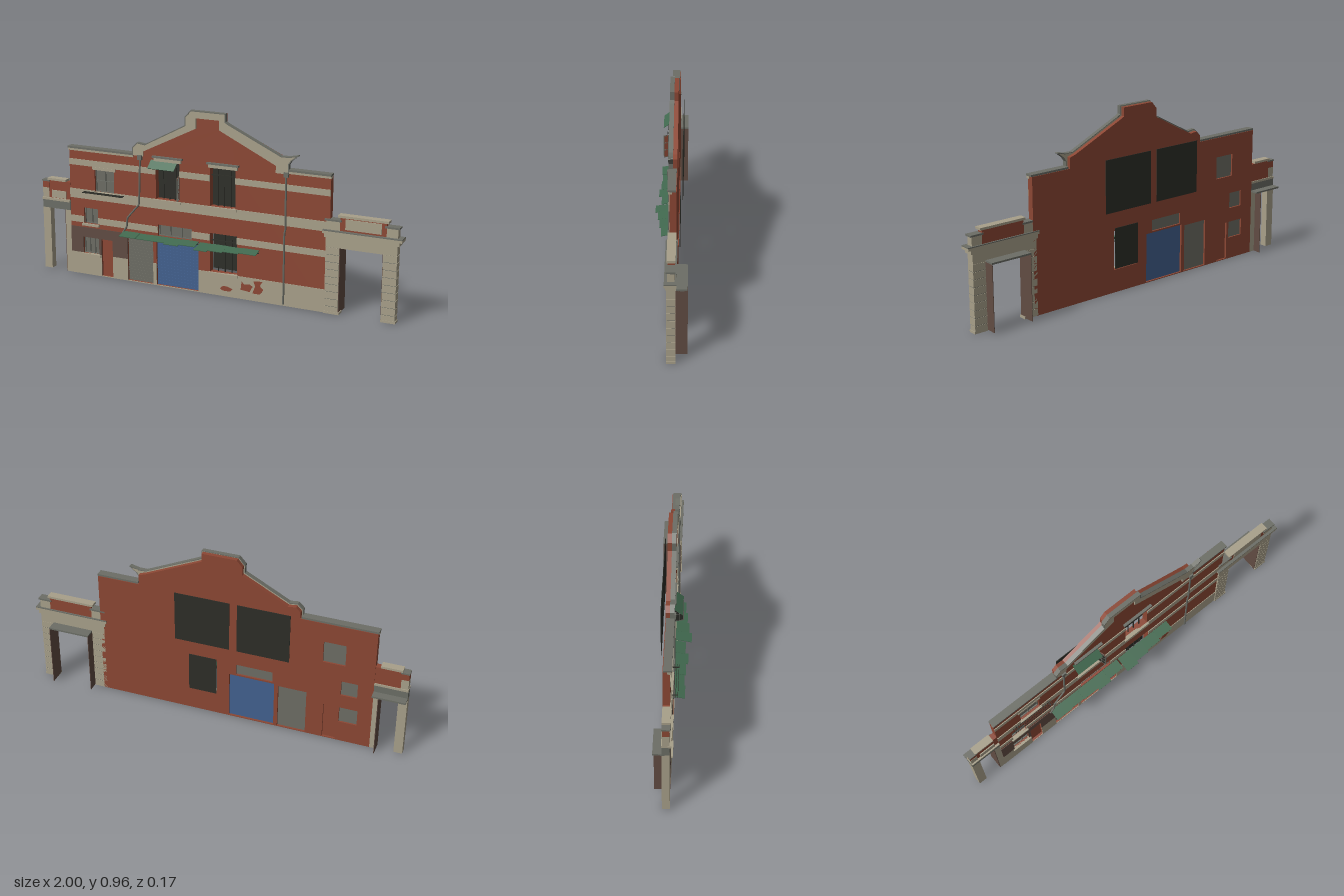
import * as THREE from 'three';

const mat = (name, color, side = THREE.FrontSide) => {
  const m = new THREE.MeshStandardMaterial({ color, side });
  m.name = name;
  return m;
};

export function createModel() {
  const root = new THREE.Group();
  root.name = 'facade';
  const brick = mat('brick', 0x8c4734), cream = mat('cream stone', 0xa8a08a), gray = mat('gray lead', 0x6c6e66);
  const brown = mat('brown render', 0x614c43, THREE.DoubleSide), glass = mat('dusty glass', 0x6d6d64);
  const dark = mat('dark interior', 0x2d2e28), green = mat('green canvas', 0x41694f, THREE.DoubleSide);
  const blue = mat('blue shutter', 0x42618f);

  const add = (name, geo, m, parent = root) => {
    const mesh = new THREE.Mesh(geo, m);
    mesh.name = name;
    parent.add(mesh);
    return mesh;
  };
  const group = (name) => {
    const g = new THREE.Group();
    g.name = name;
    root.add(g);
    return g;
  };
  // Box given by its x, y and z ranges
  const box = (name, m, x0, x1, y0, y1, z0, z1, parent = root) => {
    const mesh = add(name, new THREE.BoxGeometry(x1 - x0, y1 - y0, z1 - z0), m, parent);
    mesh.position.set((x0 + x1) / 2, (y0 + y1) / 2, (z0 + z1) / 2);
    return mesh;
  };
  const poly = (pts) => new THREE.Shape(pts.map(([x, y]) => new THREE.Vector2(x, y)));
  const extrude = (name, m, shape, z0, z1) => {
    const geo = new THREE.ExtrudeGeometry(shape, { depth: z1 - z0, bevelEnabled: false });
    geo.translate(0, 0, z0);
    return add(name, geo, m);
  };

  // Openings: x0, x1, y0, y1
  const O = {
    upperLeft: [-0.68, -0.565, 0.465, 0.585],
    middleLeft: [-0.75, -0.665, 0.285, 0.37],
    lowerLeft: [-0.757, -0.662, 0.118, 0.208],
    smallDoor: [-0.648, -0.58, 0.004, 0.208],
    grayShutter: [-0.49, -0.34, 0.004, 0.257],
    blueShutter: [-0.32, -0.078, 0.004, 0.265],
    transom: [-0.31, -0.115, 0.273, 0.333],
    gableLeft: [-0.32, -0.185, 0.47, 0.672],
    gableRight: [-0.013, 0.127, 0.47, 0.672],
    lowerRight: [-0.013, 0.137, 0.122, 0.328],
  };
  const openings = Object.values(O);

  // Brick wall with gable
  const wall = poly([[-0.83, 0], [0.63, 0], [0.63, 0.7], [0.405, 0.7], [0.405, 0.755], [0.372, 0.765], [0.094, 0.892],
    [0.068, 0.905], [0.068, 0.95], [-0.113, 0.95], [-0.142, 0.915], [-0.142, 0.87], [-0.377, 0.745],
    [-0.418, 0.75], [-0.442, 0.725], [-0.442, 0.69], [-0.83, 0.69]]);
  for (const [a, b, c, d] of openings)
    wall.holes.push(new THREE.Path([[a, c], [a, d], [b, d], [b, c]].map((p) => new THREE.Vector2(...p))));
  extrude('brickWall', brick, wall, -0.033, 0);

  // Thin facing plates, cut around the openings
  const facing = (name, m, rect, z1) => {
    let parts = [rect];
    for (const [a, b, c, d] of openings) {
      parts = parts.flatMap((r) => {
        const [x0, x1, y0, y1] = r;
        if (a >= x1 || b <= x0 || c >= y1 || d <= y0) return [r];
        const l = Math.max(a, x0), h = Math.min(b, x1);
        return [[x0, l, y0, y1], [h, x1, y0, y1], [l, h, y0, c], [l, h, d, y1]]
          .filter((q) => q[1] - q[0] > 0.001 && q[3] - q[2] > 0.001);
      });
    }
    const g = group(name);
    parts.forEach((r) => box(name, m, ...r, -0.001, z1, g));
  };
  facing('stonePlinth', cream, [-0.83, 0.63, 0, 0.12], 0.003);
  facing('brownRender', brown, [-0.83, -0.49, 0.12, 0.262], 0.003);
  facing('lowerBand', cream, [-0.49, 0.63, 0.288, 0.322], 0.004);
  facing('lowerBand', cream, [-0.83, -0.49, 0.288, 0.322], 0.004);
  facing('middleBand', cream, [-0.83, 0.63, 0.42, 0.47], 0.004);
  facing('upperBand', cream, [-0.83, 0.63, 0.6, 0.632], 0.004);

  // Exposed brick where the plinth has worn away
  [[[0.045, 0.04], [0.06, 0.055], [0.085, 0.055], [0.115, 0.045], [0.1, 0.03], [0.06, 0.03]],
    [[0.16, 0.05], [0.165, 0.095], [0.18, 0.08], [0.21, 0.085], [0.225, 0.075], [0.21, 0.045]],
    [[0.225, 0.04], [0.24, 0.08], [0.23, 0.105], [0.28, 0.11], [0.265, 0.085], [0.285, 0.065], [0.265, 0.04]],
  ].forEach((p) => extrude('wornPatch', brick, poly(p), 0.002, 0.0045));

  // Gable trim and lead coping
  const outer = [[-0.447, 0.69], [-0.447, 0.73], [-0.42, 0.757], [-0.377, 0.752], [-0.147, 0.874], [-0.147, 0.917],
    [-0.115, 0.953], [0.072, 0.953], [0.072, 0.912], [0.094, 0.9], [0.372, 0.771], [0.414, 0.771], [0.46, 0.782],
    [0.425, 0.755], [0.412, 0.735], [0.412, 0.685]];
  const inner = [[0.345, 0.685], [0.345, 0.722], [0.04, 0.868], [0.04, 0.917], [-0.088, 0.917], [-0.088, 0.864],
    [-0.388, 0.715], [-0.388, 0.69]];
  extrude('gableTrim', cream, poly([...outer, ...inner]), -0.012, 0.008);
  const coping = group('gableCoping');
  for (let i = 0; i < outer.length - 1; i++) {
    const [x0, y0] = outer[i], [x1, y1] = outer[i + 1];
    const seg = add('copingStrip', new THREE.BoxGeometry(Math.hypot(x1 - x0, y1 - y0) + 0.003, 0.005, 0.022), gray, coping);
    seg.position.set((x0 + x1) / 2, (y0 + y1) / 2, -0.001);
    seg.rotation.z = Math.atan2(y1 - y0, x1 - x0);
  }
  // Eaves of the two wings
  for (const [x0, x1, y] of [[-0.833, -0.447, 0.69], [0.412, 0.633, 0.7]]) {
    box('eavesMoulding', cream, x0, x1, y - 0.012, y, -0.012, 0.006);
    box('eavesCap', gray, x0, x1, y, y + 0.01, -0.03, 0.01);
  }

  // Glazed windows with bars, sill and lintel
  const glazed = (name, r, cols, rows, fill = glass, z = -0.018) => {
    const [a, b, c, d] = r, g = group(name), t = 0.004;
    if (fill) box('pane', fill, a, b, c, d, z - 0.006, z, g);
    for (let i = 0; i <= cols; i++) {
      const x = a + t / 2 + ((b - a - t) * i) / cols;
      box('upright', gray, x - t / 2, x + t / 2, c, d, z, z + 0.007, g);
    }
    for (let i = 0; i <= rows; i++) {
      const y = c + t / 2 + ((d - c - t) * i) / rows;
      box('crossbar', gray, a, b, y - t / 2, y + t / 2, z, z + 0.006, g);
    }
    return g;
  };
  glazed('upperLeftWindow', O.upperLeft, 2, 2);
  glazed('middleLeftWindow', O.middleLeft, 2, 1);
  glazed('lowerLeftWindow', O.lowerLeft, 3, 1);
  glazed('transomWindow', O.transom, 3, 1);
  for (const k of ['upperLeft', 'middleLeft', 'lowerLeft', 'gableLeft', 'gableRight', 'lowerRight']) {
    const [a, b, c] = O[k];
    box('windowSill', cream, a - 0.008, b + 0.008, c - 0.012, c, -0.01, 0.011);
  }
  box('windowLintel', cream, -0.69, -0.555, 0.585, 0.6, -0.002, 0.006);

  // Dark rooms behind the tall windows, with carved heads over the upper pair
  box('darkRoom', dark, -0.4, -0.125, 0.435, 0.71, -0.058, -0.055);
  box('darkRoom', dark, -0.085, 0.205, 0.435, 0.71, -0.058, -0.055);
  box('darkRoom', dark, -0.013, 0.137, 0.13, 0.345, -0.044, -0.041);
  for (const k of ['gableLeft', 'gableRight']) {
    const [a, b] = O[k];
    box('windowHead', cream, a - 0.008, b + 0.012, 0.672, 0.69, -0.002, 0.008);
    box('windowHeadCap', gray, a - 0.015, b + 0.02, 0.69, 0.699, -0.002, 0.014);
  }
  for (const k of ['gableLeft', 'gableRight', 'lowerRight']) {
    const [a, b, c, d] = O[k];
    box('windowRail', dark, a, b, d - 0.045, d - 0.039, -0.025, -0.018);
    for (let i = 1; i < 4; i++) box('windowBar', dark, a + ((b - a) * i) / 4 - 0.002, a + ((b - a) * i) / 4 + 0.002, c, d, -0.025, -0.02);
  }

  // Open casement on the left gable window
  const casement = group('openCasement');
  casement.position.set(-0.19, 0.483, 0.001);
  casement.rotation.y = 0.3;
  box('casementPanel', brick, 0, 0.002, 0, 0.122, 0, 0.047, casement);
  box('casementBack', dark, -0.002, 0, 0, 0.122, 0, 0.047, casement);
  for (let i = 0; i < 4; i++) box('casementBar', gray, -0.003, 0.004, i * 0.0395, i * 0.0395 + 0.003, 0, 0.047, casement);
  for (let i = 0; i < 3; i++) box('casementBar', gray, -0.003, 0.004, 0, 0.122, i * 0.022, i * 0.022 + 0.003, casement);
  box('closedCasement', dark, -0.262, -0.205, 0.485, 0.645, -0.012, -0.006);

  // Doors and roller shutters
  box('smallDoor', brick, ...O.smallDoor, -0.022, -0.012);
  for (const [name, m, r, n] of [['grayShutter', glass, O.grayShutter, 16], ['blueShutter', blue, O.blueShutter, 16]]) {
    const g = group(name), h = (r[3] - r[2]) / n;
    box(name, m, ...r, -0.022, -0.012, g);
    for (let i = 0; i < n; i++) box('slat', m, r[0], r[1], r[2] + i * h, r[2] + (i + 0.8) * h, -0.013, -0.01, g);
  }

  // Sloping awning sheets: x0, x1, reach, front height, back height
  [[-0.51, -0.415, 0.06, 0.26, 0.272], [-0.42, -0.335, 0.055, 0.258, 0.27], [-0.335, -0.24, 0.06, 0.26, 0.271],
    [-0.245, -0.165, 0.07, 0.257, 0.27], [-0.17, -0.075, 0.055, 0.26, 0.272], [-0.067, 0.005, 0.084, 0.255, 0.27],
    [0.003, 0.085, 0.07, 0.257, 0.271], [0.08, 0.17, 0.06, 0.259, 0.27], [0.17, 0.26, 0.05, 0.26, 0.272],
    [-0.345, -0.195, 0.045, 0.64, 0.675],
  ].forEach(([x0, x1, reach, y0, y1], i) => {
    const sheet = add(i < 9 ? 'shopAwning' : 'windowAwning', new THREE.BoxGeometry(x1 - x0, 0.003, Math.hypot(reach, y1 - y0)), green);
    sheet.position.set((x0 + x1) / 2, (y0 + y1) / 2, reach / 2 + 0.001);
    sheet.rotation.x = Math.atan2(y1 - y0, reach);
  });
  box('awningRail', dark, -0.51, 0.26, 0.256, 0.26, 0.003, 0.008);

  // Drainpipes and drying rack
  const pipe = (pts) => {
    const path = new THREE.CurvePath();
    const v = pts.map(([x, y]) => new THREE.Vector3(x, y, 0.008));
    for (let i = 0; i < v.length - 1; i++) path.add(new THREE.LineCurve3(v[i], v[i + 1]));
    add('drainpipe', new THREE.TubeGeometry(path, 40, 0.005, 6), gray);
  };
  pipe([[0.4, 0.69], [0.4, 0.4], [0.395, 0.38], [0.395, 0.01]]);
  pipe([[-0.405, 0.69], [-0.415, 0.43], [-0.485, 0.35], [-0.49, 0.3], [-0.515, 0.265]]);
  box('pipeHopper', gray, 0.39, 0.412, 0.67, 0.695, 0.002, 0.016);
  box('pipeHopper', gray, -0.418, -0.394, 0.67, 0.695, 0.002, 0.016);
  for (const z of [0.014, 0.024, 0.034]) box('dryingRail', dark, -0.74, -0.5, 0.461, 0.465, z - 0.002, z);
  for (const x of [-0.72, -0.52]) box('dryingBracket', dark, x, x + 0.004, 0.459, 0.463, 0, 0.034);

  // Coursed stone pier
  const pier = (x0, x1, z1) => {
    const g = group('gatePier'), n = 9, h = 0.345 / n;
    box('pierCore', gray, x0 + 0.002, x1 - 0.002, 0, 0.345, -0.031, z1 - 0.002, g);
    for (let i = 0; i < n; i++) box('pierStone', cream, x0, x1, i * h + 0.002, (i + 1) * h - 0.001, -0.033, z1, g);
  };

  // Right gateway
  pier(0.612, 0.683, 0.008);
  pier(0.905, 0.975, 0.008);
  box('gateFoot', cream, 0.61, 0.69, 0, 0.012, -0.033, 0.01);
  box('gateFoot', cream, 0.903, 0.978, 0, 0.012, -0.033, 0.01);
  box('gateLintel', cream, 0.612, 0.975, 0.345, 0.395, -0.033, 0.008);
  box('gateMoulding', cream, 0.605, 0.985, 0.395, 0.415, -0.036, 0.013);
  box('gateCornice', cream, 0.597, 1, 0.415, 0.428, -0.038, 0.018);
  box('gateCorniceCap', gray, 0.597, 1, 0.428, 0.433, -0.038, 0.018);
  box('parapetBlock', brick, 0.682, 0.918, 0.433, 0.503, -0.03, 0.002);
  box('parapetPanel', cream, 0.71, 0.893, 0.442, 0.495, 0, 0.006);
  box('parapetCap', cream, 0.672, 0.928, 0.5, 0.512, -0.033, 0.008);
  for (const [a, b] of [[0.612, 0.682], [0.918, 0.975]]) {
    box('parapetPost', cream, a, b, 0.433, 0.478, -0.03, 0.004);
    box('parapetPostCap', gray, a - 0.008, b + 0.008, 0.478, 0.487, -0.033, 0.009);
  }
  // Right passage
  for (const x of [0.683, 0.902]) box('passageWall', brown, x, x + 0.003, 0.005, 0.345, -0.087, 0.004);
  box('passageCeiling', gray, 0.683, 0.905, 0.343, 0.352, -0.087, -0.03);

  // Left gateway
  box('sidePier', cream, -1, -0.955, 0.005, 0.345, -0.033, 0.004);
  box('sideJamb', cream, -0.862, -0.83, 0, 0.345, -0.033, 0.002);
  box('sidePassageWall', brown, -0.865, -0.862, 0, 0.345, -0.075, 0.002);
  box('sidePassageCeiling', gray, -1, -0.83, 0.343, 0.352, -0.075, -0.02);
  box('sideLintel', gray, -1, -0.83, 0.345, 0.39, -0.033, 0.004);
  box('sideCornice', cream, -1, -0.83, 0.39, 0.402, -0.035, 0.012);
  box('sideBlock', brick, -0.96, -0.83, 0.402, 0.498, -0.03, 0.001);
  box('sidePanel', cream, -0.942, -0.855, 0.405, 0.445, 0, 0.006);
  box('sidePost', cream, -0.998, -0.96, 0.402, 0.455, -0.03, 0.004);
  box('sidePostTop', brick, -0.998, -0.96, 0.455, 0.49, -0.03, 0.003);
  box('sidePostCap', gray, -1, -0.955, 0.49, 0.498, -0.033, 0.007);
  box('sideBlockCap', cream, -0.965, -0.855, 0.498, 0.51, -0.033, 0.007);
  return root;
}
